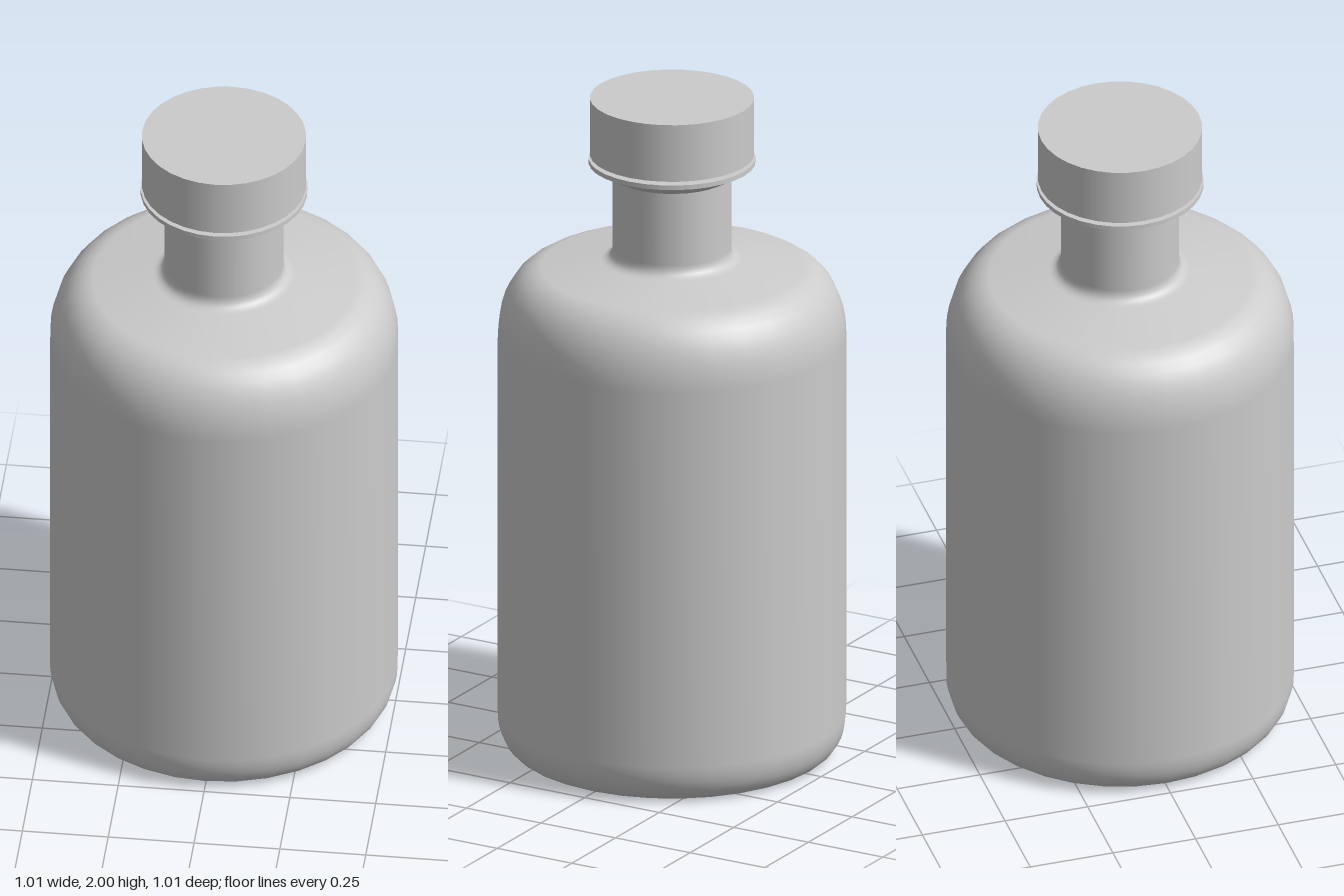
import * as THREE from 'three';

const SIDES = 32;

export function createModel() {
  const group = new THREE.Group();
  const material = new THREE.MeshStandardMaterial({ color: 0xcccccc });

  const add = (name, geometry, y = 0) => {
    const mesh = new THREE.Mesh(geometry, material);
    mesh.name = name;
    mesh.position.y = y;
    group.add(mesh);
  };
  // Upright disc or cone section between two heights
  const section = (name, rBottom, rTop, y0, y1) =>
    add(name, new THREE.CylinderGeometry(rTop, rBottom, y1 - y0, SIDES), (y0 + y1) / 2);

  // Bottle: hollow punt under the base, rounded heel, wall, shoulder and neck
  const profile = new THREE.Path();
  profile.moveTo(0, 0.34);
  profile.quadraticCurveTo(0.1, 0.34, 0.125, 0.25);
  profile.bezierCurveTo(0.17, 0.1, 0.28, 0.0, 0.4, 0.002);
  profile.lineTo(0.43, 0.002);
  profile.bezierCurveTo(0.475, 0.002, 0.505, 0.05, 0.505, 0.12);
  profile.lineTo(0.505, 1.27);
  profile.bezierCurveTo(0.505, 1.38, 0.46, 1.465, 0.38, 1.481);
  profile.lineTo(0.205, 1.506);
  profile.quadraticCurveTo(0.172, 1.511, 0.172, 1.545);
  profile.lineTo(0.172, 1.8);
  add('bottle', new THREE.LatheGeometry(profile.getPoints(8), SIDES));

  // Flared lip around the mouth
  section('lipFlare', 0.172, 0.238, 1.765, 1.802);
  section('lip', 0.242, 0.242, 1.802, 1.816);

  // Stopper with a narrow gap below its cap
  section('stopperNeck', 0.19, 0.19, 1.81, 1.835);
  section('cap', 0.238, 0.238, 1.826, 2);

  return group;
}
